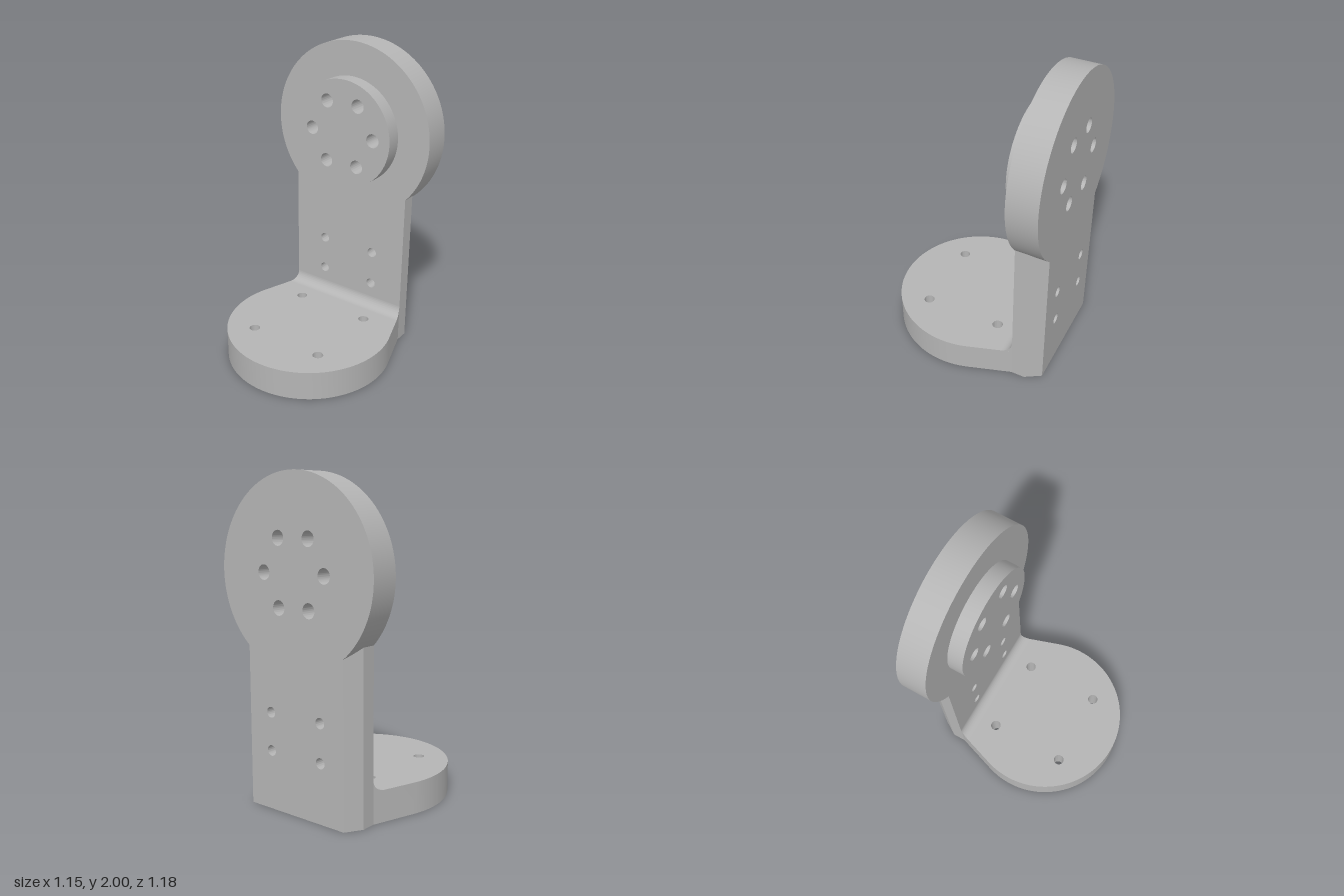
import * as THREE from 'three';
import { toCreasedNormals } from 'three/addons/utils/BufferGeometryUtils.js';

const HEAD_Y = 1.427, HEAD_R = 0.573;   // round head
const BACK = -0.59, FACE = -0.4;        // plate thickness in z
const STEM = 0.427, STEM_BACK = 0.365;  // half widths of the stem
const BASE_H = 0.195;

function extrude(shape, depth) {
  return new THREE.ExtrudeGeometry(shape, { depth, bevelEnabled: false, curveSegments: 48 });
}

// Extrude an x/z outline upwards from y = 0
function extrudeUp(shape, height) {
  return extrude(shape, height).rotateX(Math.PI / 2).translate(0, height, 0);
}

function addHole(shape, x, y, r) {
  shape.holes.push(new THREE.Path().absarc(x, y, r, 0, Math.PI * 2, true));
}

function addBoltCircle(shape) {
  for (let i = 0; i < 6; i++) {
    const a = i * Math.PI / 3;
    addHole(shape, 0.23 * Math.cos(a), HEAD_Y + 0.23 * Math.sin(a), 0.045);
  }
}

export function createModel() {
  const group = new THREE.Group();
  const grey = new THREE.MeshStandardMaterial({ color: 0xb5b5b5 });
  grey.name = 'machined grey';
  const add = (name, geometry) => {
    const mesh = new THREE.Mesh(toCreasedNormals(geometry, 0.4), grey);
    mesh.name = name;
    group.add(mesh);
  };

  // Upright plate: round head on a straight stem
  const a = Math.asin(STEM_BACK / HEAD_R);
  const plate = new THREE.Shape();
  plate.moveTo(-STEM_BACK, 0);
  plate.lineTo(STEM_BACK, 0);
  plate.absarc(0, HEAD_Y, HEAD_R, -Math.PI / 2 + a, Math.PI * 1.5 - a, false);
  addBoltCircle(plate);
  for (const x of [-0.193, 0.193]) for (const y of [0.365, 0.6]) addHole(plate, x, y, 0.033);
  add('uprightPlate', extrude(plate, FACE - BACK).translate(0, 0, BACK));

  // Stem edges, chamfered towards the back
  const edgeTop = HEAD_Y - Math.sqrt(HEAD_R ** 2 - STEM ** 2);
  for (const s of [-1, 1]) {
    const edge = new THREE.Shape([
      [STEM_BACK, BACK], [STEM, -0.49], [STEM, FACE], [STEM_BACK, FACE],
    ].map(([x, z]) => new THREE.Vector2(s * x, z)));
    add(s > 0 ? 'leftStemEdge' : 'rightStemEdge', extrudeUp(edge, edgeTop));
  }

  // Raised boss on the head
  const boss = new THREE.Shape().absarc(0, HEAD_Y, 0.353, 0, Math.PI * 2, false);
  addBoltCircle(boss);
  add('headBoss', extrude(boss, 0.1).translate(0, 0, FACE));

  // Base foot: round front with sides tapering to the stem
  const taper = 0.314;
  const foot = new THREE.Shape();
  foot.moveTo(-STEM, FACE);
  foot.lineTo(STEM, FACE);
  foot.absarc(0, 0.044, 0.544, -taper, Math.PI + taper, false);
  for (const x of [-0.258, 0.258]) for (const z of [-0.217, 0.3]) addHole(foot, x, z, 0.034);
  add('baseFoot', extrudeUp(foot, BASE_H));

  // Fillet between foot and stem, widened to follow the foot's sides
  const r = 0.07;
  const fillet = new THREE.Shape();
  fillet.moveTo(FACE, BASE_H);
  fillet.lineTo(FACE + r, BASE_H);
  fillet.absarc(FACE + r, BASE_H + r, r, -Math.PI / 2, -Math.PI, true);
  const geometry = new THREE.ExtrudeGeometry(fillet, { depth: 2, bevelEnabled: false, curveSegments: 16 })
    .translate(0, 0, -1).rotateY(-Math.PI / 2);
  const p = geometry.attributes.position;
  for (let i = 0; i < p.count; i++) {
    p.setX(i, p.getX(i) * (STEM + Math.tan(taper) * (p.getZ(i) - FACE)));
  }
  add('baseFillet', geometry);

  return group;
}
